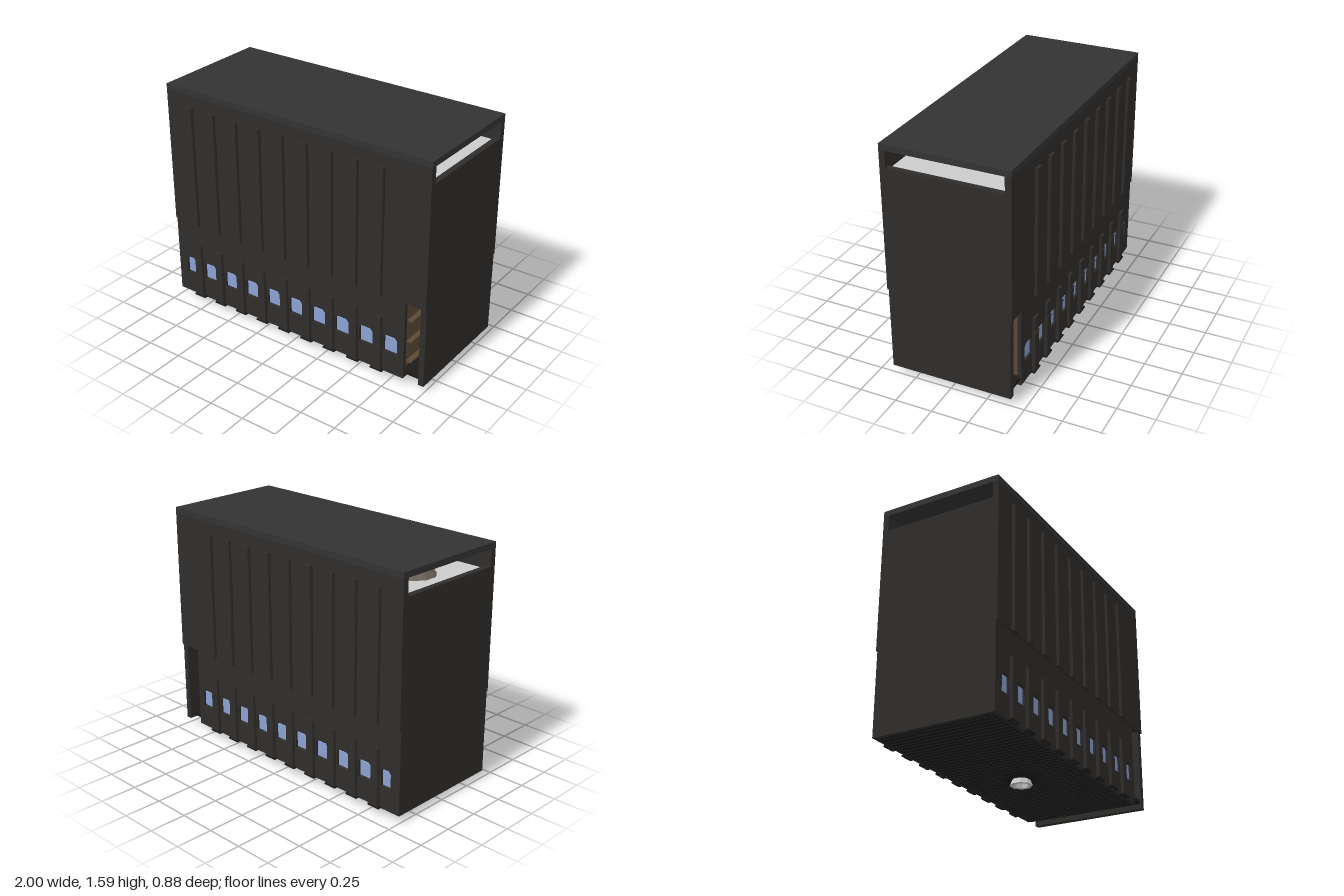
import * as THREE from 'three';

const mat = (color) => new THREE.MeshStandardMaterial({ color, side: THREE.DoubleSide });
const dark = mat(0x2f2d2b), roofMat = mat(0x333333), black = mat(0x1c1b1a);
const glass = mat(0x8aa2d2), pale = mat(0xcccccc), wood = mat(0x5a4a36), bronze = mat(0x6b6358);

// box given by its limits on each axis
function box(parent, name, material, x0, x1, y0, y1, z0, z1) {
  const m = new THREE.Mesh(new THREE.BoxGeometry(x1 - x0, y1 - y0, z1 - z0), material);
  m.position.set((x0 + x1) / 2, (y0 + y1) / 2, (z0 + z1) / 2);
  m.name = name;
  parent.add(m);
  return m;
}

// upright strip with a chamfered cross-section
function strip(parent, name, x, y0, y1, z, halfBase, halfFace, depth) {
  const s = new THREE.Shape([
    new THREE.Vector2(-halfBase, 0), new THREE.Vector2(halfBase, 0),
    new THREE.Vector2(halfBase, -depth * 0.5), new THREE.Vector2(halfFace, -depth),
    new THREE.Vector2(-halfFace, -depth), new THREE.Vector2(-halfBase, -depth * 0.5),
  ]);
  const g = new THREE.ExtrudeGeometry(s, { depth: y1 - y0, bevelEnabled: false });
  g.rotateX(-Math.PI / 2);
  const m = new THREE.Mesh(g, dark);
  m.position.set(x, y0, z);
  m.name = name;
  parent.add(m);
}

const RIBS = Array.from({ length: 9 }, (_, i) => -0.81 + i * 0.184);
const WINDOWS = Array.from({ length: 10 }, (_, i) =>
  i === 0 ? { x: -0.89, w: 0.065 } : { x: -0.717 + (i - 1) * 0.1835, w: 0.088 });

// one long side, facing +z
function longSide() {
  const side = new THREE.Group();
  box(side, 'upperPanel', dark, -1, 1, 0.61, 1.55, 0.38, 0.42);

  // lower wall with arched-corner window openings
  const s = new THREE.Shape();
  s.moveTo(-1, 0.05); s.lineTo(0.85, 0.05); s.lineTo(0.85, 0.61); s.lineTo(-1, 0.61);
  s.closePath();
  for (const { x, w } of WINDOWS) {
    const h = w / 2 + 0.006, p = new THREE.Path();
    p.moveTo(x - h, 0.2); p.lineTo(x - h, 0.305); p.lineTo(x - h + 0.018, 0.325);
    p.lineTo(x + h - 0.018, 0.325); p.lineTo(x + h, 0.305); p.lineTo(x + h, 0.2);
    p.closePath();
    s.holes.push(p);
    box(side, 'windowPane', glass, x - w / 2, x + w / 2, 0.21, 0.31, 0.392, 0.4);
  }
  const wall = new THREE.Mesh(new THREE.ExtrudeGeometry(s, { depth: 0.025, bevelEnabled: false }), dark);
  wall.position.z = 0.385;
  wall.name = 'windowWall';
  side.add(wall);

  for (const x of RIBS) {
    strip(side, 'upperRib', x, 0.61, 1.47, 0.42, 0.027, 0.023, 0.02);
    strip(side, 'lowerRib', x, 0.05, 0.45, 0.41, 0.026, 0.022, 0.018);
    strip(side, 'lowerRibBase', x, 0.05, 0.34, 0.41, 0.031, 0.027, 0.021);
    box(side, 'ribCollar', dark, x - 0.028, x + 0.028, 0.335, 0.345, 0.41, 0.434);
    box(side, 'ribFoot', black, x - 0.045, x + 0.045, 0.05, 0.06, 0.4, 0.434);
  }
  return side;
}

export function createModel() {
  const model = new THREE.Group();
  model.name = 'hall';

  box(model, 'roof', roofMat, -1, 1, 1.55, 1.59, -0.42, 0.42);

  // long sides, the back mirrored with its winding kept outward
  const front = longSide();
  front.name = 'frontSide';
  const back = longSide();
  back.name = 'backSide';
  back.scale.z = -1;
  model.add(front, back);

  // end walls stop short of the roof
  box(model, 'passageEndWall', dark, 0.96, 1, 0.05, 1.44, -0.41, 0.41);
  box(model, 'closedEndWall', dark, -1, -0.96, 0.05, 1.44, -0.41, 0.41);

  // floors and ceilings
  box(model, 'floor', black, -0.99, 0.85, 0.052, 0.11, -0.4, 0.4);
  box(model, 'passageFloor', black, 0.85, 0.97, 0.085, 0.11, -0.4, 0.4);
  box(model, 'lowerCeiling', black, -0.97, 0.97, 0.62, 0.64, -0.38, 0.38);
  box(model, 'atticFloor', pale, -0.97, 0.97, 1.4, 1.42, -0.38, 0.38);

  // passage partition with shelves
  box(model, 'partition', wood, 0.825, 0.84, 0.11, 0.62, -0.385, 0.385);
  for (const y of [0.15, 0.3, 0.45])
    box(model, 'shelf', wood, 0.84, 0.875, y - 0.006, y + 0.006, -0.36, 0.36);
  for (const z of [-0.3, 0.3])
    box(model, 'passagePost', black, 0.908, 0.932, 0.11, 0.62, z - 0.012, z + 0.012);

  // grating beneath the floor
  for (let i = 0; i <= 44; i++) {
    const x = -0.98 + i * 0.0414;
    box(model, 'gratingCrossBar', black, x - 0.005, x + 0.005, 0.046, 0.053, -0.39, 0.39);
  }
  for (let i = 0; i <= 18; i++) {
    const z = -0.38 + i * 0.0422;
    box(model, 'gratingLongBar', black, -0.985, 0.845, 0.048, 0.053, z - 0.005, z + 0.005);
  }

  // round plate and octagonal flared socket below
  const plate = new THREE.Mesh(new THREE.CylinderGeometry(0.13, 0.09, 0.016, 24), black);
  plate.position.set(0.02, 0.044, 0);
  plate.name = 'socketPlate';
  const socketMat = pale.clone();
  socketMat.flatShading = true;
  const socket = new THREE.Mesh(new THREE.LatheGeometry([
    new THREE.Vector2(0.04, 0.045), new THREE.Vector2(0.05, 0), new THREE.Vector2(0.073, 0),
    new THREE.Vector2(0.057, 0.045)], 8), socketMat);
  socket.position.x = 0.02;
  socket.rotation.y = Math.PI / 8;
  socket.name = 'socket';
  model.add(plate, socket);

  // faceted bells under the roof
  const bellMat = bronze.clone();
  bellMat.flatShading = true;
  for (const x of [-0.72, 0.02]) {
    const bell = new THREE.Mesh(new THREE.LatheGeometry([
      [0.14, 1.42], [0.125, 1.44], [0.085, 1.49], [0.055, 1.525], [0.025, 1.54], [0.08, 1.545], [0.08, 1.55],
    ].map(([r, y]) => new THREE.Vector2(r, y)), 10), bellMat);
    bell.position.x = x;
    bell.name = 'ceilingBell';
    model.add(bell);
  }
  return model;
}
